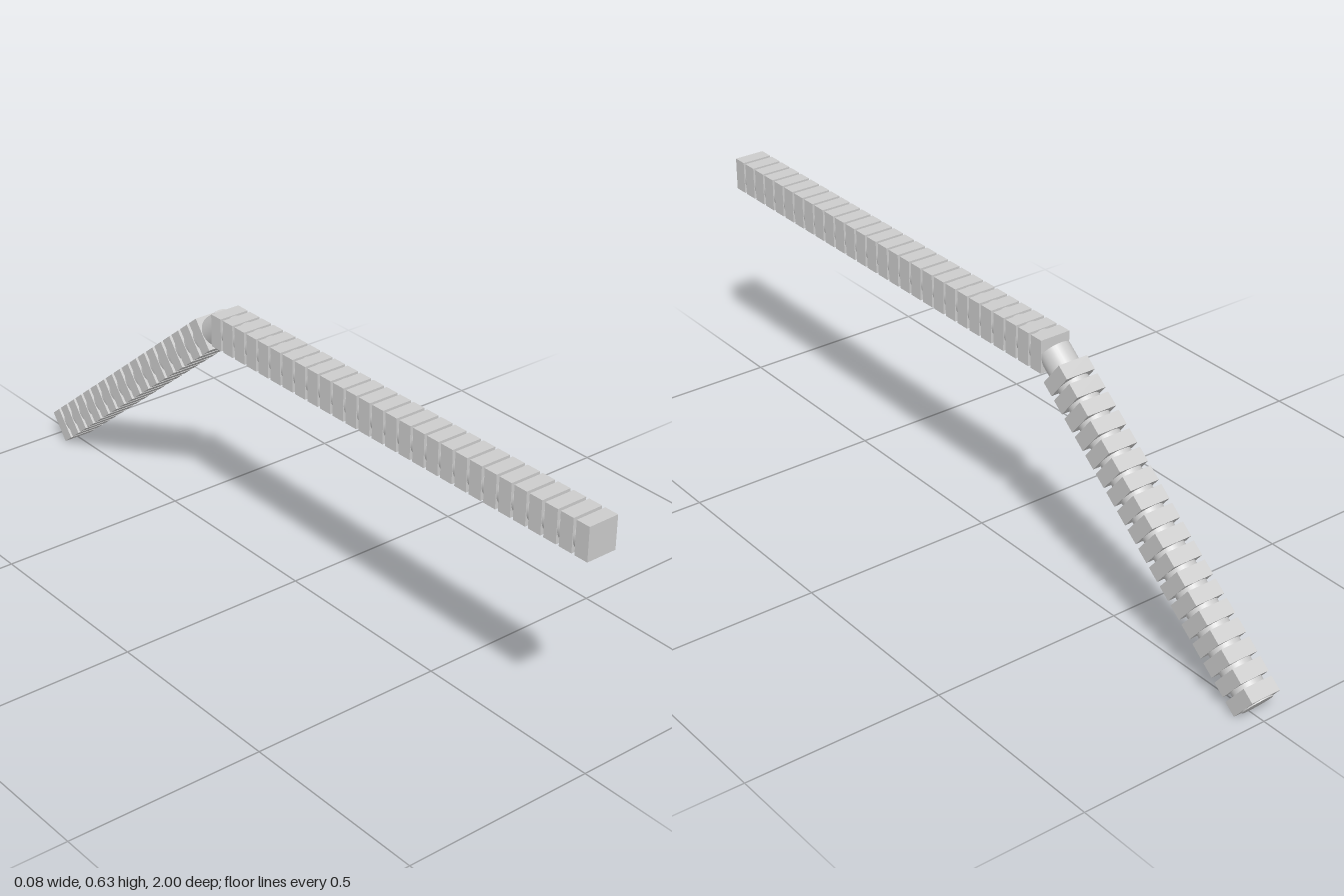
import * as THREE from 'three';

const WIDTH = 0.081, HEIGHT = 0.084;

export function createModel() {
  const model = new THREE.Group();
  const material = new THREE.MeshStandardMaterial({ color: 0xcccccc });

  // Round core running between two points of the x = 0 plane
  function addCore(name, from, to, radius) {
    const a = new THREE.Vector3(0, ...from), b = new THREE.Vector3(0, ...to);
    const core = new THREE.Mesh(
      new THREE.CylinderGeometry(radius, radius, a.distanceTo(b), 32), material);
    core.name = name;
    core.position.copy(a).add(b).multiplyScalar(0.5);
    core.quaternion.setFromUnitVectors(new THREE.Vector3(0, 1, 0), b.sub(a).normalize());
    model.add(core);
  }

  // Row of square blocks; local z runs back along the row from its start
  function addRow(name, start, angle, count, pitch, length) {
    const row = new THREE.Group();
    row.name = name;
    const geometry = new THREE.BoxGeometry(WIDTH, HEIGHT, length);
    for (let i = 0; i < count; i++) {
      const block = new THREE.Mesh(geometry, material);
      block.name = name + 'Block';
      block.position.z = -(i * pitch + length / 2);
      row.add(block);
    }
    row.position.set(0, ...start);
    row.rotation.x = -angle;
    model.add(row);
  }

  // Level front arm, its core dipping slightly towards the front
  addRow('frontArm', [0.591, 1], 0, 28, 0.0457, 0.037);
  addCore('frontCore', [0.5835, 0.975], [0.592, -0.26], 0.039);

  // Rear arm sloping down to the ground
  const slope = THREE.MathUtils.degToRad(38.5);
  addRow('rearArm', [0.565, -0.308], slope, 18, 0.048, 0.0365);
  addCore('rearCore', [0.595, -0.268], [0.0325, -0.9775], 0.039);

  return model;
}
